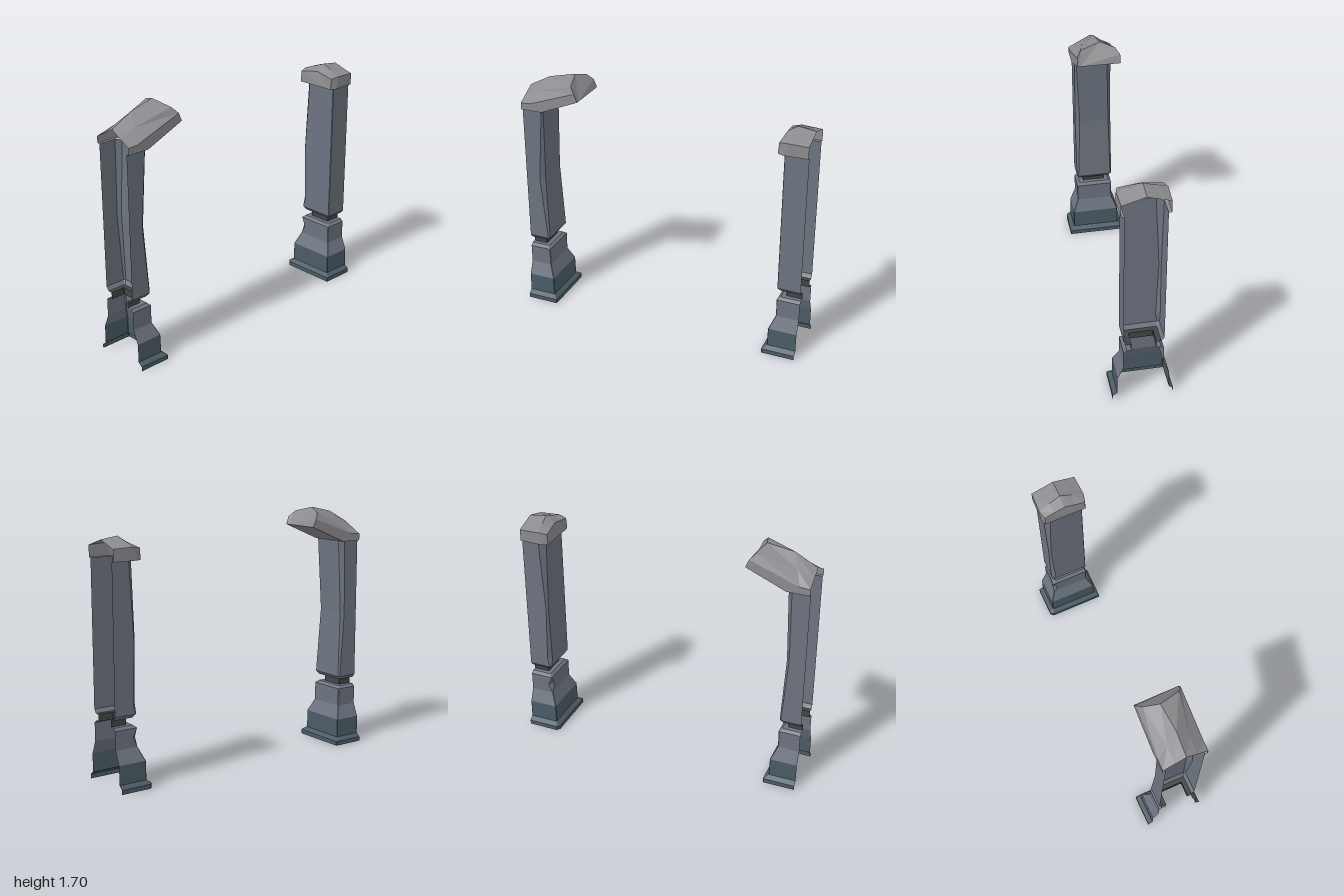
import * as THREE from 'three';

const mat = (color) => new THREE.MeshStandardMaterial({ color, flatShading: true, side: THREE.DoubleSide });
const STONE = mat(0x6d7480), BASE = mat(0x4b5b66), NECK = mat(0x3f4846), CAP = mat(0x8c8c90);

// Skins a list of equal-length cross-sections; skip(section, point) leaves openings.
function loft(name, sections, material, { flip = false, closed = false, end = false, skip = () => false } = {}) {
  const pos = [];
  const tri = (a, b, c) => pos.push(...a, ...(flip ? c : b), ...(flip ? b : c));
  const n = sections[0].length;
  for (let k = 0; k < sections.length - 1; k++) {
    const lo = sections[k], hi = sections[k + 1];
    for (let i = 0; i < (closed ? n : n - 1); i++) {
      if (skip(k, i)) continue;
      const j = (i + 1) % n;
      tri(lo[j], lo[i], hi[i]);
      tri(lo[j], hi[i], hi[j]);
    }
  }
  if (end) {
    const last = sections[sections.length - 1];
    for (let i = 1; i < n - 1; i++) tri(last[0], last[i + 1], last[i]);
  }
  const geo = new THREE.BufferGeometry();
  geo.setAttribute('position', new THREE.Float32BufferAttribute(pos, 3));
  geo.computeVertexNormals();
  const mesh = new THREE.Mesh(geo, material);
  mesh.name = name;
  return mesh;
}

// U-shaped ring, open on the outer side, with chipped corners:
// [height, half depth, front chip, back chip, inward dent]
function ring(s, extra, [y, h, front = 0, back = 0, dent = 0]) {
  const x = 1 - h - extra + dent;
  const f = Math.max(front, 0.003), b = Math.max(back, 0.003);
  return [[1, h], [x + f, h], [x, h - f], [x, b - h], [x + b, -h], [1, -h]].map(([px, z]) => [s * px, y, z]);
}

// Cap section; bottom, shoulder and ridge are [distance from centre, height]
function capSection(s, { bottom, shoulder, ridge, w, bulge = 0, ridgeZ = 0 }) {
  const half = [
    [bottom[0], bottom[1], 0.13],
    [bottom[0], bottom[1], w],
    [shoulder[0], shoulder[1], w],
    [(shoulder[0] + ridge[0]) / 2, (shoulder[1] + ridge[1]) / 2 + bulge, w * (bulge ? 0.8 : 0.5)],
  ];
  const back = half.map(([x, y, z]) => [x, y, -z]).reverse();
  return [...half, [ridge[0], ridge[1], ridgeZ], ...back].map(([x, y, z]) => [s * x, y, z]);
}

function halfPillar(name, s, extra, shaft, chip, capSections) {
  const g = new THREE.Group();
  g.name = name;
  const flip = s < 0;
  const part = (label, rings, m) => g.add(loft(label, rings.map((r) => ring(s, extra, r)), m, { flip }));

  // Stepped foot and flared base
  part('plinth', [[0, 0.2, 0, chip], [0.03, 0.2, 0, chip], [0.053, 0.17], [0.18, 0.168]], BASE);
  part('pedestal', [[0.18, 0.168], [0.27, 0.13], [0.33, 0.13, 0, chip * 1.5], [0.395, 0.13], [0.412, 0.11], [0.412, 0.08]], STONE);
  // Recessed neck
  part('neck', [[0.412, 0.08], [0.46, 0.08], [0.46, 0.11]], NECK);
  // Worn shaft
  part('shaft', shaft, STONE);

  // Roof-like cap, open outside and above the hollow shaft
  const sections = capSections.map((c) => capSection(s, c));
  const last = sections[0].length - 1;
  g.add(loft('cap', sections, CAP, {
    flip: !flip, closed: true, end: true, skip: (k, i) => k === 0 && i === last,
  }));
  return g;
}

export function createModel() {
  const model = new THREE.Group();
  model.name = 'brokenArch';

  // Pillar on +x with a short hipped cap
  model.add(halfPillar('leftPillar', 1, 0.03,
    [[0.46, 0.11], [0.485, 0.13, 0, 0.01], [0.55, 0.13, 0, 0.025], [0.95, 0.13, 0, 0.012], [1.46, 0.13, 0, 0.04]],
    0.02,
    [
      { bottom: [1, 1.46], shoulder: [1, 1.54], ridge: [1, 1.585], w: 0.15 },
      { bottom: [0.84, 1.46], shoulder: [0.86, 1.545], ridge: [0.88, 1.602], w: 0.155 },
      { bottom: [0.8, 1.46], shoulder: [0.805, 1.535], ridge: [0.815, 1.56], w: 0.14 },
    ]));

  // Pillar on -x with the stub of the arch rising inward
  model.add(halfPillar('rightPillar', -1, 0.02,
    [[0.46, 0.11], [0.485, 0.13, 0.01, 0.01], [0.95, 0.13, 0.03, 0.02, 0.02], [1.46, 0.13, 0.01, 0.03]],
    0.005,
    [
      { bottom: [1, 1.46], shoulder: [1, 1.505], ridge: [1, 1.585], w: 0.15 },
      { bottom: [0.85, 1.46], shoulder: [0.93, 1.51], ridge: [0.85, 1.665], w: 0.15 },
      { bottom: [0.577, 1.575], shoulder: [0.6, 1.63], ridge: [0.67, 1.702], w: 0.148, bulge: 0.003, ridgeZ: -0.02 },
    ]));

  return model;
}
